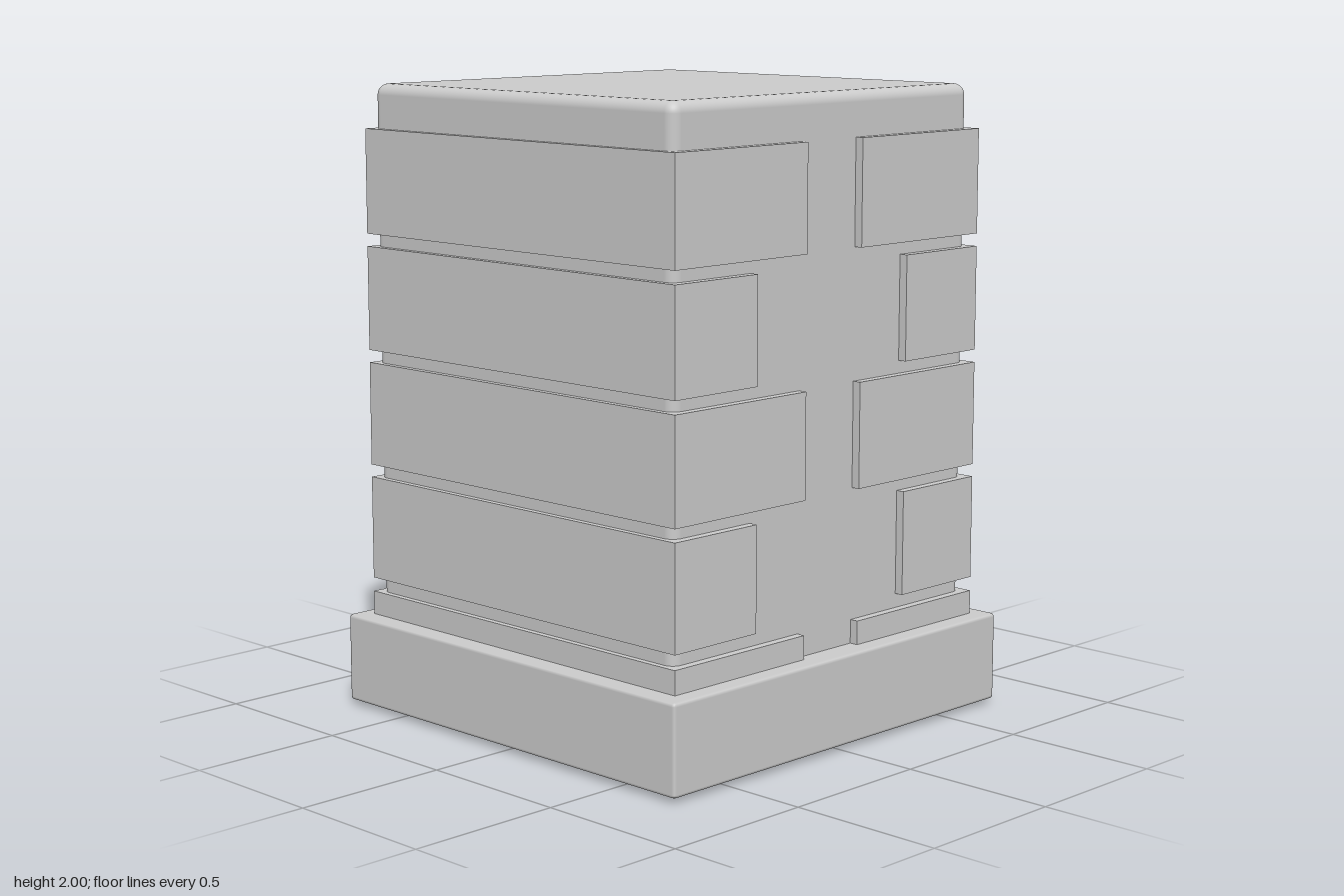
import * as THREE from 'three';
import { RoundedBoxGeometry } from 'three/addons/geometries/RoundedBoxGeometry.js';

export function createModel() {
  const model = new THREE.Group();
  model.name = 'stonePillar';
  const material = new THREE.MeshStandardMaterial({ color: 0xcccccc });

  function add(name, geometry, x, y, z, parent = model) {
    const mesh = new THREE.Mesh(geometry, material);
    mesh.name = name;
    mesh.position.set(x, y, z);
    parent.add(mesh);
    return mesh;
  }

  // Square core with softly rounded edges
  add('core', new RoundedBoxGeometry(1.315, 2, 1.315, 4, 0.035), 0, 1, -0.005);

  // Plinth with a narrow bevel
  add('plinth', new RoundedBoxGeometry(1.475, 0.285, 1.475, 1, 0.012), 0, 0.1575, 0);

  // Quoin blocks wrapping both sides, alternating long and short returns;
  // the lowest course is mostly sunk into the plinth
  const outer = 0.677;
  const courses = [
    { bottom: 0.05, top: 0.375, inner: 0.122 },
    { bottom: 0.42, top: 0.75, inner: 0.335 },
    { bottom: 0.79, top: 1.12, inner: 0.122 },
    { bottom: 1.16, top: 1.49, inner: 0.335 },
    { bottom: 1.53, top: 1.86, inner: 0.122 },
  ];
  const quoins = new THREE.Group();
  quoins.name = 'quoins';
  model.add(quoins);
  courses.forEach(({ bottom, top, inner }, i) => {
    for (const [label, side] of [['left', 1], ['right', -1]]) {
      const block = new THREE.BoxGeometry(outer - inner, top - bottom, outer * 2 + 0.006);
      add(`${label}Quoin${i + 1}`, block, side * (outer + inner) / 2, (bottom + top) / 2, 0, quoins);
    }
  });

  return model;
}
